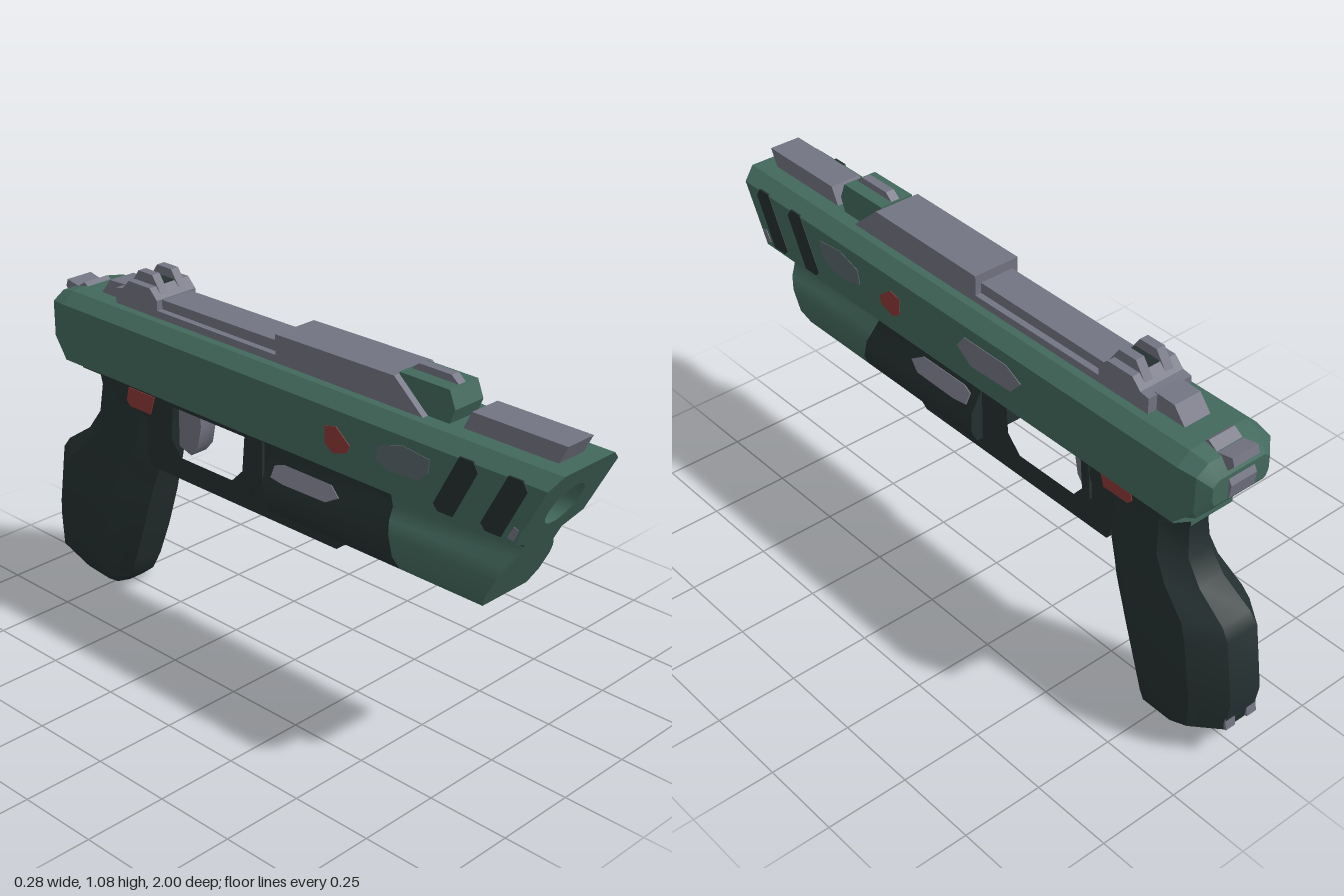
import * as THREE from 'three';
import { toCreasedNormals } from 'three/addons/utils/BufferGeometryUtils.js';

const mat = (name, color) => {
  const m = new THREE.MeshStandardMaterial({ color });
  m.name = name;
  return m;
};

export function createModel() {
  const green = mat('green shell', 0x43695d);
  const dark = mat('dark frame', 0x253030);
  const grey = mat('grey metal', 0x737482);
  const worn = mat('worn paint', 0x59646b);
  const red = mat('red marking', 0x8c3835);

  const root = new THREE.Group();
  const add = (name, geo, material, crease = 0.5) => {
    const mesh = new THREE.Mesh(toCreasedNormals(geo, crease), material);
    mesh.name = name;
    root.add(mesh);
    return mesh;
  };
  const toShape = pts => new THREE.Shape(pts.map(p => new THREE.Vector2(...p)));
  // right half of a section, bottom to top, closed by its mirror image
  const mirror = half => [...half, ...half.slice().reverse().map(([x, y]) => [-x, y])];

  // section extruded along z, both ends cut to a slope that depends on y
  function prism(half, back, front, hole) {
    const s = toShape(mirror(half));
    if (hole) s.holes.push(hole);
    const g = new THREE.ExtrudeGeometry(s, { depth: 1, bevelEnabled: false, curveSegments: 14 });
    const p = g.attributes.position;
    for (let i = 0; i < p.count; i++) p.setZ(i, p.getZ(i) > 0.5 ? front(p.getY(i)) : back(p.getY(i)));
    return g;
  }
  // side outline given as (z, y), extruded across x
  function side(pts, halfWidth, hole) {
    const s = toShape(pts);
    if (hole) s.holes.push(toShape(hole));
    return new THREE.ExtrudeGeometry(s, { depth: 2 * halfWidth, bevelEnabled: false })
      .rotateY(-Math.PI / 2).translate(halfWidth, 0, 0);
  }
  // skin over rings of equal length, with both ends closed
  function loft(rings) {
    const out = [], n = rings[0].length;
    const mid = r => r.reduce((a, p) => a.map((v, k) => v + p[k] / n), [0, 0, 0]);
    const first = rings[0], last = rings[rings.length - 1];
    for (let j = 0; j < n; j++) {
      const k = (j + 1) % n;
      for (let i = 0; i < rings.length - 1; i++) {
        const [a, b, c, d] = [rings[i][j], rings[i][k], rings[i + 1][j], rings[i + 1][k]];
        out.push(a, b, c, b, d, c);
      }
      out.push(mid(first), first[k], first[j], mid(last), last[j], last[k]);
    }
    const g = new THREE.BufferGeometry();
    g.setAttribute('position', new THREE.Float32BufferAttribute(out.flat(), 3));
    g.computeVertexNormals();
    return g;
  }
  // thin painted plate on both sides
  function decal(name, pts, x, material, sides = [1, -1]) {
    for (const s of sides) add(name, side(pts, 0.003).translate(s * x, 0, 0), material);
  }

  const muzzle = y => 1 - (0.965 - y) * 0.53;

  // slide with bored muzzle
  const bore = new THREE.Path().absarc(0, 0.84, 0.063, 0, Math.PI * 2, true);
  const slideHalf = [[0.14, 0.76], [0.14, 0.935], [0.1, 0.968]];
  add('slide', prism(slideHalf, () => -0.83, muzzle, bore), green);
  add('boreEnd', new THREE.CircleGeometry(0.066, 24).translate(0, 0.84, 0.72), dark);
  add('slideRear', loft([
    [[0.09, 0.84], [0.1, 0.86], [0.1, 0.9], [0.08, 0.915]],
    [[0.12, 0.8], [0.13, 0.82], [0.13, 0.93], [0.09, 0.955]],
    [[0.1, 0.757], [0.14, 0.765], [0.14, 0.935], [0.1, 0.968]],
  ].map((r, i) => mirror(r).map(([x, y]) => [x, y, [-0.915, -0.885, -0.83][i]]))), green, 0.4);
  add('slideRail', prism([[0.075, 0.715], [0.075, 0.73], [0.138, 0.76]], () => -0.83, muzzle), [green, dark]);

  // lower shroud and the dark frame behind it
  const seam = y => 0.43 + (0.715 - y) * 0.25;
  const shroudHalf = [[0.09, 0.52], [0.11, 0.56], [0.11, 0.62], [0.098, 0.655], [0.075, 0.685], [0.075, 0.725]];
  const frameHalf = [[0.09, 0.52], [0.11, 0.56], [0.11, 0.62], [0.075, 0.685], [0.075, 0.725]];
  add('lowerShroud', prism(shroudHalf, seam, muzzle), green, 0.7);
  add('lowerFrame', prism(frameHalf, () => -0.02, seam), dark);

  // trigger guard and trigger
  const opening = [[-0.12, 0.71], [-0.13, 0.6], [-0.18, 0.55], [-0.4, 0.55], [-0.44, 0.6], [-0.43, 0.71]];
  add('triggerGuard', side([[0.29, 0.53], [0.23, 0.48], [-0.53, 0.48], [-0.56, 0.55], [-0.56, 0.735],
    [0, 0.735], [0, 0.56], [0.29, 0.56]], 0.07, opening), dark);
  add('guardRim', side([[-0.05, 0.72], [-0.05, 0.6], [-0.11, 0.535], [-0.42, 0.525], [-0.47, 0.58],
    [-0.46, 0.72]], 0.08, opening), dark);
  add('trigger', side([[-0.36, 0.715], [-0.355, 0.65], [-0.37, 0.58], [-0.4, 0.545], [-0.45, 0.56],
    [-0.45, 0.715]], 0.03), grey);
  add('frameBlock', side([[-0.44, 0.735], [-0.47, 0.64], [-0.66, 0.64], [-0.7, 0.735]], 0.077), dark);

  // grip: front z, front y, back z, back y, half width
  add('grip', loft([
    [-0.71, 0.01, -0.79, 0.0, 0.06],
    [-0.675, 0.04, -0.87, 0.04, 0.095],
    [-0.65, 0.1, -0.985, 0.1, 0.12],
    [-0.605, 0.22, -1.0, 0.2, 0.124],
    [-0.56, 0.36, -0.97, 0.4, 0.122],
    [-0.545, 0.41, -0.945, 0.435, 0.113],
    [-0.52, 0.48, -0.85, 0.5, 0.098],
    [-0.5, 0.56, -0.8, 0.57, 0.09],
    [-0.48, 0.66, -0.79, 0.66, 0.076],
    [-0.46, 0.735, -0.82, 0.765, 0.074],
  ].map(([zf, yf, zb, yb, w]) => {
    const at = (x, t) => [x * w, yf + (yb - yf) * t, zf + (zb - zf) * t];
    return [at(0.45, 0), at(1, 0.25), at(1, 0.78), at(0.45, 1),
      at(-0.45, 1), at(-1, 0.78), at(-1, 0.25), at(-0.45, 0)];
  })), dark, 0.55);
  for (const s of [1, -1]) {
    const chip = add('gripScuff', new THREE.BoxGeometry(0.035, 0.04, 0.008), grey);
    chip.position.set(s * 0.04, 0.125, -0.988);
    chip.rotation.x = 0.15;
  }

  // top rail
  add('muzzleRib', side([[0.97, 1.02], [0.67, 1.02], [0.64, 0.96], [0.94, 0.96]], 0.05), grey);
  add('railFront', side([[0.54, 0.96], [0.43, 1.055], [0, 1.05], [0, 0.96]], 0.075), grey);
  add('railBase', side([[0, 0.96], [0, 0.99], [-0.5, 0.99], [-0.5, 0.96]], 0.075), grey);
  add('railRear', side([[0, 0.98], [0, 1.022], [-0.5, 1.018], [-0.5, 0.98]], 0.055), grey);

  // front sight
  add('frontSightBase', side([[0.6, 0.96], [0.62, 1.01], [0.6, 1.06], [0.43, 1.06], [0.43, 0.96]], 0.055), green);
  add('frontSightPost', side([[0.6, 1.055], [0.57, 1.08], [0.46, 1.08], [0.43, 1.055]], 0.014), grey);

  // rear sight with two posts
  add('rearSightBase', side([[-0.48, 0.96], [-0.48, 1.02], [-0.51, 1.05], [-0.6, 1.05], [-0.63, 1.02],
    [-0.66, 1.015], [-0.66, 0.96]], 0.075), grey);
  for (const s of [1, -1]) {
    add('rearSightPost', side([[-0.49, 1.03], [-0.525, 1.08], [-0.585, 1.08], [-0.62, 1.03]], 0.014)
      .translate(s * 0.036, 0, 0), grey);
  }
  add('sightNotch', new THREE.BoxGeometry(0.04, 0.006, 0.085).translate(0, 1.051, -0.555), dark);
  add('rearSightTail', side([[-0.65, 0.96], [-0.65, 1.018], [-0.72, 1.015], [-0.765, 0.96]], 0.045), grey);

  // hammer
  add('hammer', side([[-0.8, 0.84], [-0.8, 0.95], [-0.84, 0.978], [-0.87, 0.958], [-0.92, 0.968],
    [-0.928, 0.945], [-0.905, 0.92], [-0.925, 0.885], [-0.92, 0.845]], 0.045), grey);

  // vent slots near the muzzle
  for (const dz of [0, -0.155]) {
    decal('ventSlot', [[0.925, 0.915], [0.91, 0.94], [0.865, 0.94], [0.785, 0.785], [0.8, 0.768],
      [0.85, 0.768]].map(([z, y]) => [z + dz, y]), 0.139, dark);
  }

  // markings and worn paint
  decal('wornPatch', [[0.61, 0.86], [0.615, 0.9], [0.52, 0.91], [0.44, 0.885], [0.43, 0.84], [0.48, 0.825],
    [0.58, 0.83]], 0.139, worn);
  decal('redPatch', [[0.34, 0.85], [0.29, 0.89], [0.25, 0.88], [0.25, 0.83], [0.28, 0.81], [0.33, 0.825]],
    0.139, red);
  decal('chippedPatch', [[0, 0.86], [-0.03, 0.9], [-0.2, 0.9], [-0.26, 0.87], [-0.22, 0.825], [-0.06, 0.82]],
    0.139, grey, [1]);
  decal('muzzleChip', [[0.905, 0.805], [0.89, 0.81], [0.87, 0.775], [0.89, 0.77]], 0.139, grey, [1, -1]);
  decal('redSwitch', [[-0.5, 0.715], [-0.615, 0.715], [-0.625, 0.67], [-0.61, 0.655], [-0.52, 0.655]], 0.077, red);

  // grey side ports on the slanted frame shoulders
  for (const s of [1, -1]) {
    const port = add('sidePort', side([[0.26, 0], [0.22, 0.026], [0.04, 0.026], [0.01, 0.015],
      [0.01, -0.02], [0.06, -0.026], [0.22, -0.024]], 0.004), grey);
    port.position.set(s * 0.0935, 0.653, 0);
    port.rotation.z = s * 0.49;
  }
  return root;
}
